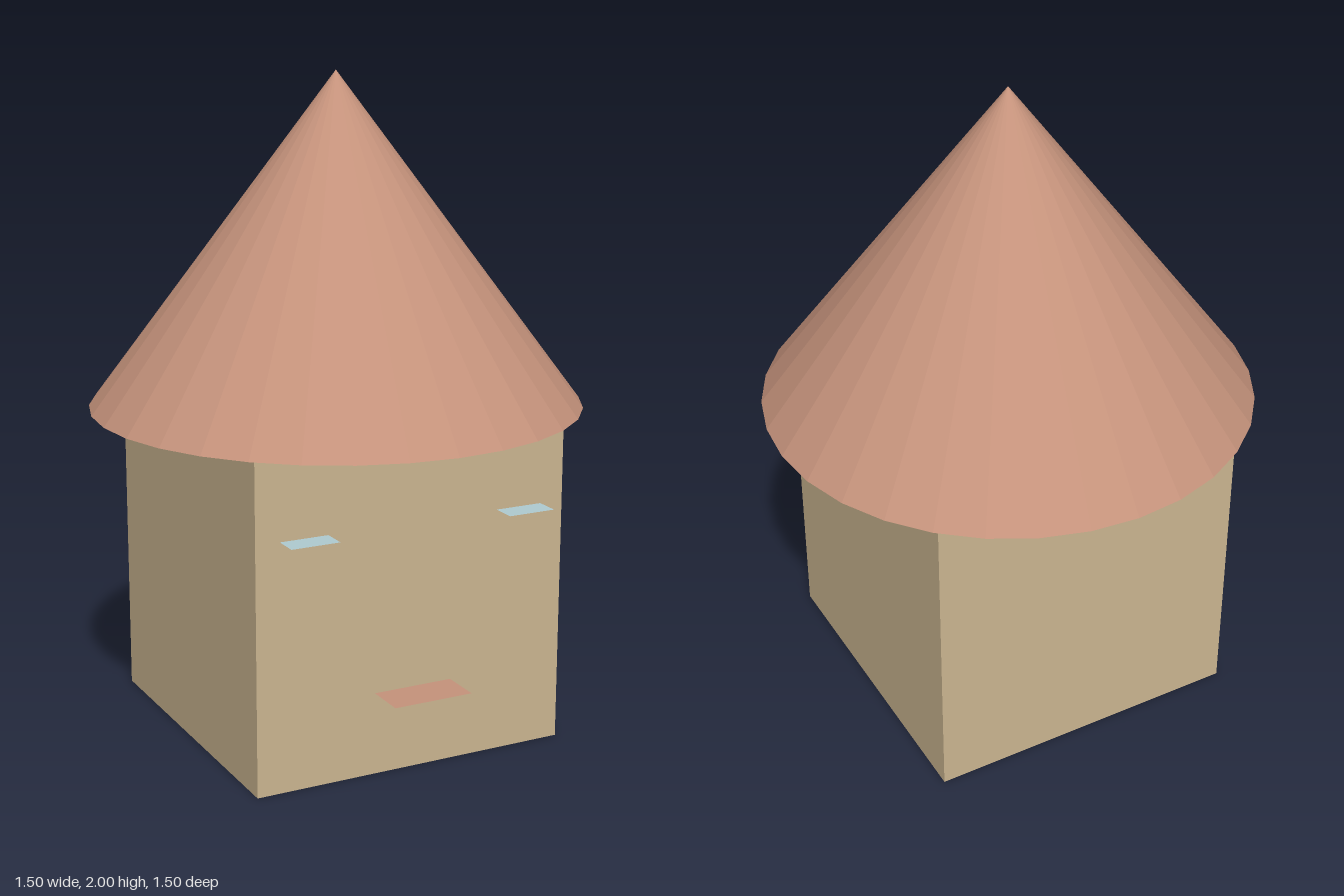
import * as THREE from 'three';

const material = (name, color, extra = {}) => {
  const m = new THREE.MeshStandardMaterial({ color, ...extra });
  m.name = name;
  return m;
};

export function createModel() {
  const house = new THREE.Group();
  house.name = 'house';

  const tan = material('tan wall', 0xcdb792);
  const clay = material('clay', 0xc6937c, { flatShading: true, side: THREE.DoubleSide });
  const paleBlue = material('pale blue', 0xb0ccd1, { side: THREE.DoubleSide });

  const add = (name, geometry, mat, x, y, z) => {
    const mesh = new THREE.Mesh(geometry, mat);
    mesh.name = name;
    mesh.position.set(x, y, z);
    house.add(mesh);
    return mesh;
  };

  // Cube walls under a wide conical roof
  add('walls', new THREE.BoxGeometry(1, 1, 1), tan, 0, 0.5, 0);
  add('roof', new THREE.ConeGeometry(0.75, 1, 32), clay, 0, 1.5, 0);

  // Flat horizontal panels, half sunk into the front wall
  const panel = (name, size, mat, x, y) => {
    const geometry = new THREE.PlaneGeometry(size, size).rotateX(-Math.PI / 2);
    add(name, geometry, mat, x, y, 0.5);
  };
  panel('door', 0.25, clay, 0, 0.25);
  panel('leftWindow', 0.15, paleBlue, 0.35, 0.75);
  panel('rightWindow', 0.15, paleBlue, -0.35, 0.75);

  return house;
}
